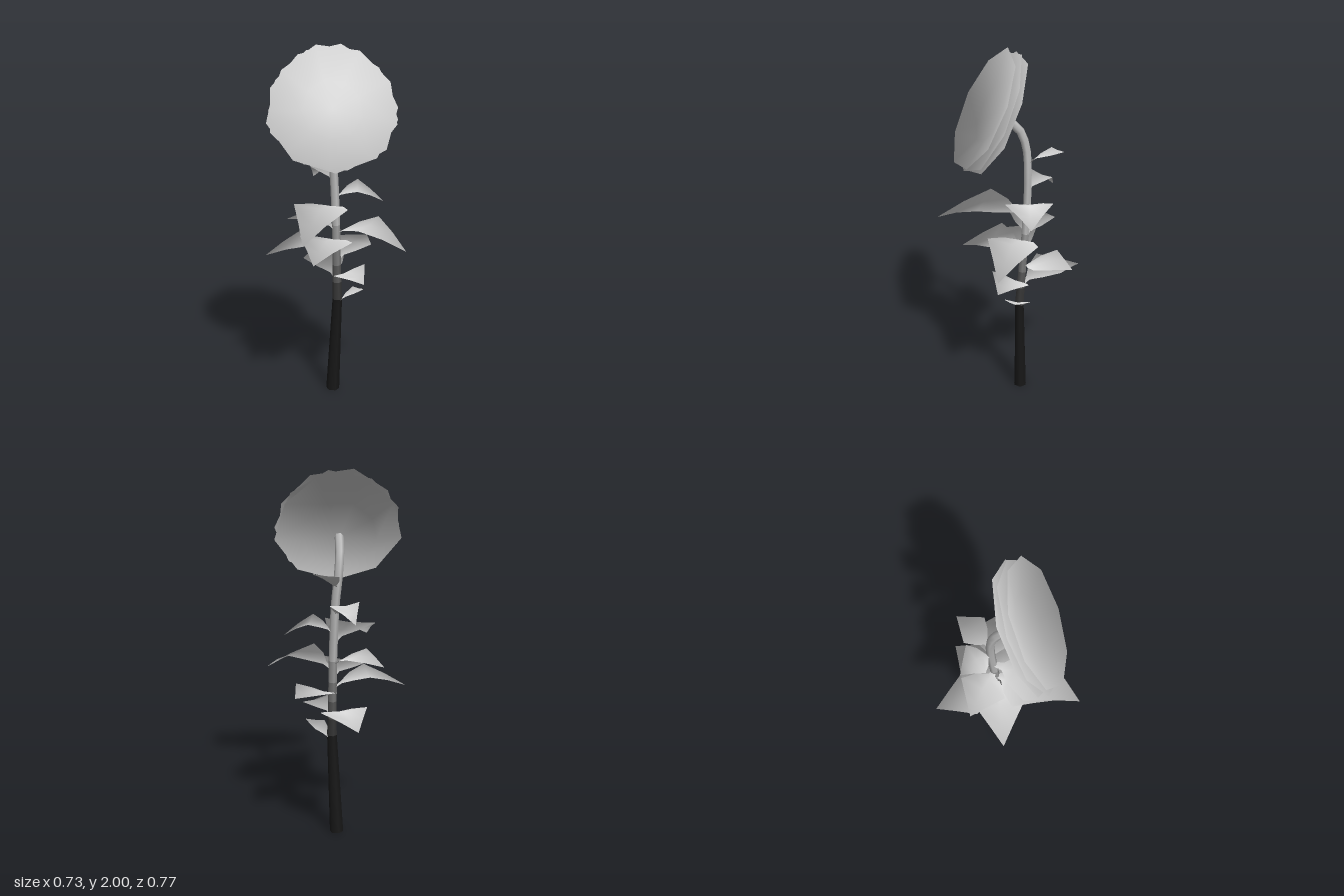
import * as THREE from 'three';

const V = (x, y, z) => new THREE.Vector3(x, y, z);
const grey = (color = 0xcccccc) => new THREE.MeshStandardMaterial({ color, side: THREE.DoubleSide });
const foliage = grey();

function addMesh(parent, name, geometry, material = foliage) {
  const mesh = new THREE.Mesh(geometry, material);
  mesh.name = name;
  parent.add(mesh);
  return mesh;
}

// Turns a sheet into two skins a hair apart, softly shaded outwards from one centre.
// "lift" is the height offset of the skin that keeps the sheet's own winding.
function foliageSheet(sheet, centre, lift) {
  const pos = sheet.attributes.position;
  const index = Array.from(sheet.index.array);
  const verts = [], normals = [], p = V(0, 0, 0);
  for (const dy of [lift, -lift]) {
    for (let i = 0; i < pos.count; i++) {
      p.fromBufferAttribute(pos, i);
      verts.push(p.x, p.y + dy, p.z);
      normals.push(...p.sub(centre).normalize());
    }
  }
  const geo = new THREE.BufferGeometry();
  geo.setAttribute('position', new THREE.Float32BufferAttribute(verts, 3));
  geo.setAttribute('normal', new THREE.Float32BufferAttribute(normals, 3));
  geo.setIndex([...index, ...index.map((k) => k + pos.count).reverse()]);
  return geo;
}

// Six-sided tube that tapers from r0 to r1
function taperedTube(curve, segments, r0, r1) {
  const sides = 6;
  const geo = new THREE.TubeGeometry(curve, segments, 1, sides);
  const pos = geo.attributes.position;
  const p = V(0, 0, 0);
  for (let i = 0; i <= segments; i++) {
    const c = curve.getPointAt(i / segments);
    const r = THREE.MathUtils.lerp(r0, r1, i / segments);
    for (let j = 0; j <= sides; j++) {
      const k = i * (sides + 1) + j;
      p.fromBufferAttribute(pos, k).sub(c).multiplyScalar(r).add(c);
      pos.setXYZ(k, p.x, p.y, p.z);
    }
  }
  return geo;
}

// Arched kite-shaped leaf: short stalk, wide shoulders, pointed tip
function leafGeometry(base, tip, peak, width) {
  const dir = V(tip.x - base.x, 0, tip.z - base.z).normalize();
  const side = V(-dir.z, 0, dir.x);
  const rise = peak - base.y;
  const rows = [
    [0, base.y, 0.08], [0.12, base.y + rise * 0.4, 0.15], [0.25, base.y + rise * 0.7, 0.6],
    [0.47, peak, 1], [0.74, THREE.MathUtils.lerp(peak, tip.y, 0.42), 0.49], [1, tip.y, 0],
  ];
  const verts = [], index = [];
  rows.forEach(([t, y, w], i) => {
    for (const s of [-1, 0, 1]) {
      const p = base.clone().lerp(tip, t).addScaledVector(side, s * w * width);
      verts.push(p.x, y + Math.abs(s) * w * 0.012, p.z);
    }
    if (i === 0) return;
    for (let j = 0; j < 2; j++) {
      const a = (i - 1) * 3 + j, b = a + 3;
      index.push(a, a + 1, b, a + 1, b + 1, b);
    }
  });
  const sheet = new THREE.BufferGeometry();
  sheet.setAttribute('position', new THREE.Float32BufferAttribute(verts, 3));
  sheet.setIndex(index);
  return foliageSheet(sheet, base.clone().setY(base.y - 0.05), 0.001);
}

// Nine-sided dish around +y with a slightly uneven rim
function dishGeometry(profile, turn, unevenness) {
  const geo = new THREE.LatheGeometry(profile.map(([r, y]) => new THREE.Vector2(r, y)), 9, turn);
  const pos = geo.attributes.position;
  const rim = profile.length;
  for (let i = 0; i < pos.count; i++) {
    const spoke = Math.floor(i / rim) % 9;
    const s = 1 + unevenness * Math.sin(spoke * 2.3 + turn * 5) * ((i % rim) / (rim - 1));
    pos.setXYZ(i, pos.getX(i) * s, pos.getY(i), pos.getZ(i) * s);
  }
  return foliageSheet(geo, V(0, -0.75, 0), -0.001);
}

export function createModel() {
  const model = new THREE.Group();
  model.name = 'flower';

  // Stem: straight dark stalk that lightens upwards, then bends into the head
  const foot = V(-0.053, 0, -0.063), knee = V(-0.026, 0.57, -0.07), waist = V(-0.05, 1, -0.09);
  const stalk = [
    [0, 0.038, 0x181818], [0.57, 0.027, 0x383838], [0.67, 0.025, 0x585858],
    [0.77, 0.024, 0x787878], [0.88, 0.023, 0x989898], [1, 0.023, 0xb0b0b0],
  ];
  const stalkAt = (y) => (y < knee.y
    ? foot.clone().lerp(knee, y / knee.y)
    : knee.clone().lerp(waist, (y - knee.y) / (waist.y - knee.y)));
  for (let i = 0; i < stalk.length - 1; i++) {
    const [y0, r0, color] = stalk[i], [y1, r1] = stalk[i + 1];
    const line = new THREE.LineCurve3(stalkAt(y0), stalkAt(y1));
    addMesh(model, `stalk${i + 1}`, taperedTube(line, 1, r0, r1), grey(color));
  }
  const upper = new THREE.CatmullRomCurve3([
    waist, V(-0.068, 1.3, -0.092), V(-0.078, 1.48, -0.075),
    V(-0.06, 1.58, -0.045), V(-0.005, 1.655, 0.015),
  ]);
  addMesh(model, 'upperStem', taperedTube(upper, 12, 0.023, 0.024), grey(0xb8b8b8));
  const cap = addMesh(model, 'stemBase', new THREE.CircleGeometry(0.037, 6), grey(0x181818));
  cap.rotation.x = Math.PI / 2;
  cap.position.copy(foot).setY(0.001);

  // Leaves: start height on the stem, tip x y z, highest point, half width
  const leaves = [
    [0.52, 0.115, 0.645, -0.125, 0.61, 0.075],
    [0.68, -0.365, 0.715, -0.26, 0.76, 0.13],
    [0.68, 0.17, 0.71, -0.05, 0.755, 0.125],
    [0.79, -0.045, 0.86, -0.385, 0.865, 0.135],
    [0.84, -0.315, 0.85, 0.2, 0.925, 0.13],
    [0.91, 0.055, 0.885, 0.25, 0.96, 0.15],
    [0.95, 0.36, 0.91, -0.17, 1.025, 0.14],
    [0.97, -0.335, 1.0, -0.015, 1.04, 0.13],
    [1.1, 0.095, 1.04, 0.385, 1.16, 0.15],
    [1.15, 0.155, 1.14, -0.245, 1.215, 0.125],
    [1.24, -0.25, 1.235, -0.145, 1.315, 0.092],
    [1.38, -0.09, 1.5, -0.29, 1.465, 0.085],
  ];
  leaves.forEach(([y0, x, y, z, peak, width], i) => {
    const base = y0 < 1 ? stalkAt(y0) : upper.getPoint((y0 - 1) / 0.96).setY(y0);
    addMesh(model, `leaf${i + 1}`, leafGeometry(base, V(x, y, z), peak, width));
  });

  // Flower head: nested dishes turned towards the front left and tilted up
  const head = new THREE.Group();
  head.name = 'flowerHead';
  head.position.set(0.057, 1.695, 0.08);
  head.quaternion.setFromUnitVectors(V(0, 1, 0), V(0.63, 0.45, 0.63).normalize());
  model.add(head);
  addMesh(head, 'flowerFace', dishGeometry([[0, -0.035], [0.16, -0.022], [0.33, 0.025]], 0.65, 0.02));
  addMesh(head, 'innerPetals', dishGeometry([[0, -0.07], [0.2, -0.055], [0.338, -0.01]], 0.95, 0.03));
  addMesh(head, 'outerPetals', dishGeometry([[0, -0.11], [0.2, -0.088], [0.338, -0.04]], 0.78, 0.03));
  return model;
}
